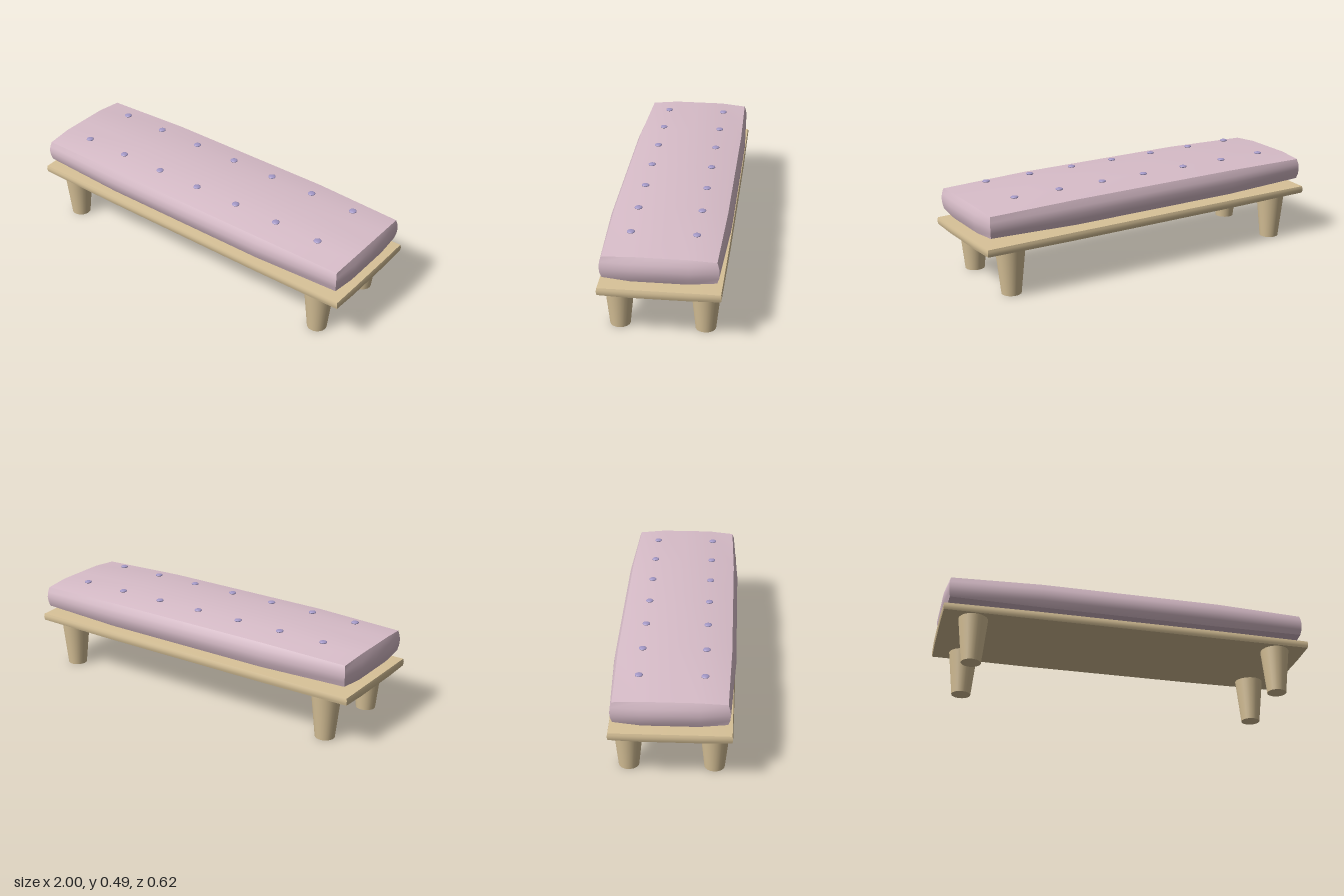
import * as THREE from 'three';

const mat = (name, color) => {
  const m = new THREE.MeshStandardMaterial({ color });
  m.name = name;
  return m;
};

// Box whose faces swell outward: flat across the middle half, falling towards edges and corners.
// half = extents at face centres, edge = loss at an edge, corner = further loss at a corner.
function puffedBox(half, edge, corner, ySegments) {
  const geo = new THREE.BoxGeometry(2, 2, 2, 4, ySegments, 4);
  const p = geo.attributes.position;
  const flat = t => Math.max(0, Math.abs(t) * 2 - 1);
  for (let i = 0; i < p.count; i++) {
    const t = [p.getX(i), p.getY(i), p.getZ(i)];
    const loss = [flat(t[0]), t[1] * t[1], flat(t[2])];
    const out = t.map((v, a) => {
      const l1 = loss[(a + 1) % 3], l2 = loss[(a + 2) % 3];
      return v * (half[a] - edge[a] * Math.max(l1, l2) - corner[a] * Math.min(l1, l2));
    });
    p.setXYZ(i, ...out);
  }
  geo.computeVertexNormals();
  return geo;
}

export function createModel() {
  const model = new THREE.Group();
  model.name = 'bench';
  const wood = mat('pale wood', 0xd8c298);
  const fabric = mat('pink fabric', 0xd8bdc9);
  const stud = mat('lilac button', 0xa398c6);

  const add = (name, geo, material, x, y, z) => {
    const mesh = new THREE.Mesh(geo, material);
    mesh.name = name;
    mesh.position.set(x, y, z);
    model.add(mesh);
  };

  // Seat board
  add('seatBoard', puffedBox([1, 0.029, 0.308], [0.005, 0.007, 0.005], [0.003, 0.003, 0.003], 4),
    wood, 0, 0.267, 0);

  // Cushion
  add('cushion', puffedBox([0.99, 0.092, 0.312], [0.019, 0.025, 0.022], [0.007, 0.011, 0.012], 4),
    fabric, 0, 0.39, 0);

  // Tapered legs
  const leg = new THREE.CylinderGeometry(0.0775, 0.0515, 0.247, 24);
  for (const x of [-0.83, 0.83]) {
    for (const z of [-0.2145, 0.2145]) add('leg', leg, wood, x, 0.1235, z);
  }

  // Two rows of tufting buttons
  const button = new THREE.SphereGeometry(0.02, 16, 10);
  button.scale(1, 0.34, 1);
  for (const z of [-0.162, 0.162]) {
    for (let i = -3; i <= 3; i++) add('button', button, stud, i * 0.257, 0.485, z);
  }
  return model;
}
